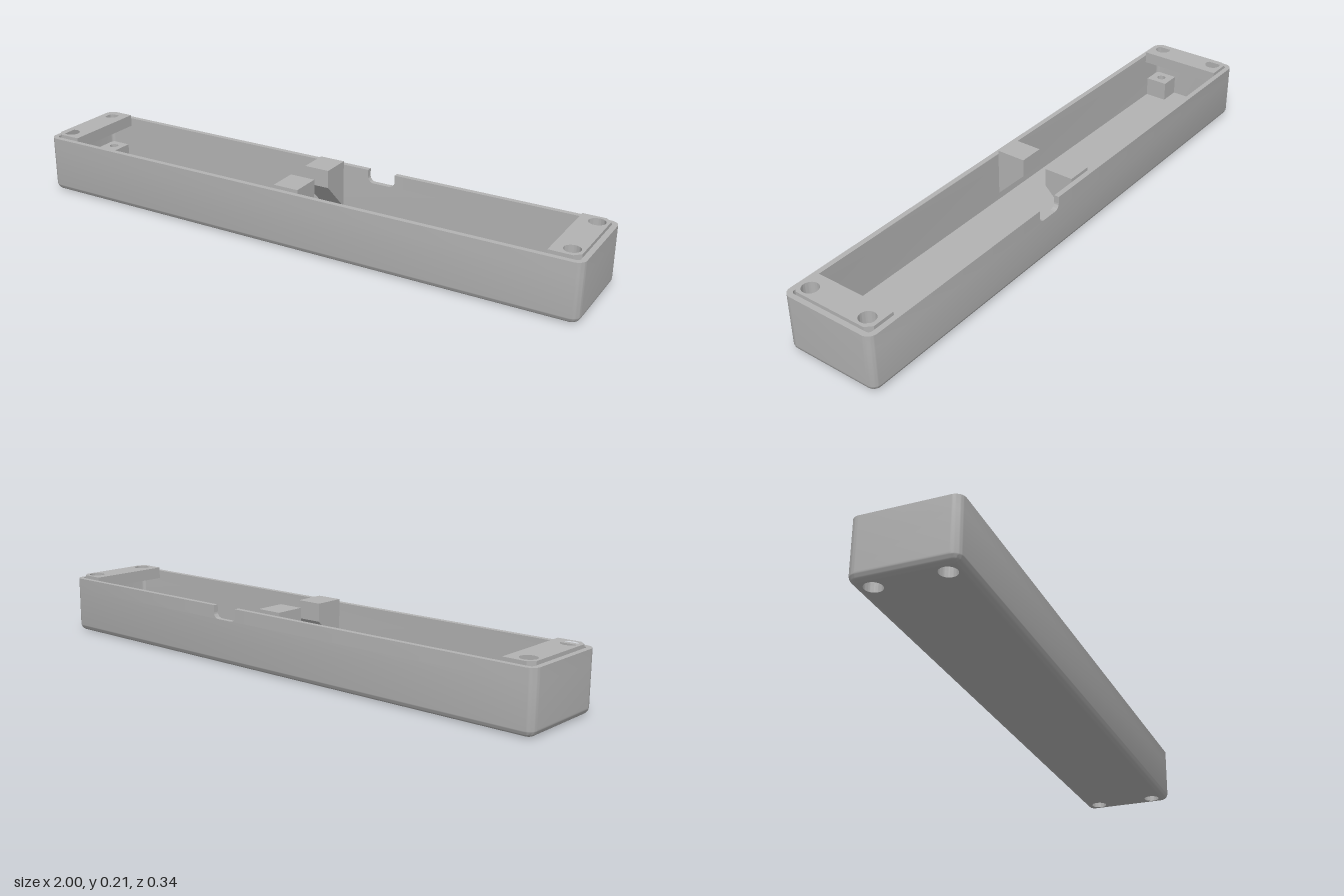
import * as THREE from 'three';
import { toCreasedNormals } from 'three/addons/utils/BufferGeometryUtils.js';

const HX = 1, HZ = 0.168, R = 0.03, WALL = 0.018, FILLET = 0.025;
const FLOOR = 0.02, RIM = 0.2, TOP = 0.212, NOTCH_Y = 0.155, NOTCH = [0.14, 0.24];
const SCREW_X = 0.945, SCREW_Z = 0.11;

// Rounded rectangle outline, counter-clockwise, starting at the back right corner
function ring(inset) {
  const r = Math.max(R - inset, 0.004), hx = HX - inset - r, hz = HZ - inset - r, n = 10;
  const pts = [];
  [[-1, 1, 1], [-1, -1, 2], [1, -1, 3], [1, 1, 0]].forEach(([sx, sy, q]) => {
    for (let i = 0; i <= n; i++) {
      const a = (q + i / n) * Math.PI / 2;
      pts.push(new THREE.Vector2(sx * hx + r * Math.cos(a), sy * hz + r * Math.sin(a)));
    }
  });
  return pts;
}

// Skin through rounded rectangles given as [inset, height]
function loft(levels) {
  const pos = [], idx = [];
  let n = 0;
  levels.forEach(([inset, y]) => {
    const pts = ring(inset);
    n = pts.length;
    pts.forEach(p => pos.push(p.x, y, -p.y));
  });
  for (let i = 0; i < levels.length - 1; i++) {
    for (let j = 0; j < n; j++) {
      const a = i * n + j, b = i * n + (j + 1) % n;
      idx.push(a, b, b + n, a, b + n, a + n);
    }
  }
  const g = new THREE.BufferGeometry();
  g.setAttribute('position', new THREE.Float32BufferAttribute(pos, 3));
  g.setIndex(idx);
  return toCreasedNormals(g, 0.6);
}

// Flat outline (shape y is world -z) raised from y0 to y1, with round holes [x, y, r]
function slab(points, y0, y1, holes = []) {
  const shape = new THREE.Shape(points);
  holes.forEach(([x, y, r]) => {
    shape.holes.push(new THREE.Path().absarc(x, y, r, 0, Math.PI * 2, true));
  });
  const g = new THREE.ExtrudeGeometry(shape, { depth: y1 - y0, bevelEnabled: false, curveSegments: 32 });
  g.rotateX(-Math.PI / 2).translate(0, y0, 0);
  return toCreasedNormals(g, 0.6);
}

const vecs = list => list.map(([x, y]) => new THREE.Vector2(x, y));
const square = (x, y, hx, hy) =>
  vecs([[x - hx, y - hy], [x + hx, y - hy], [x + hx, y + hy], [x - hx, y + hy]]);

export function createModel() {
  const group = new THREE.Group();
  const grey = new THREE.MeshStandardMaterial({ color: 0xb2b2b2 });
  grey.name = 'plastic grey';
  const add = (name, geometry) => {
    const mesh = new THREE.Mesh(geometry, grey);
    mesh.name = name;
    group.add(mesh);
    return mesh;
  };

  // Tray walls: filleted outside, up to the notch height, then down the inside
  const levels = [];
  for (let i = 0; i <= 10; i++) {
    const a = i / 10 * Math.PI / 2;
    levels.push([FILLET * (1 - Math.sin(a)), FILLET * (1 - Math.cos(a))]);
  }
  levels.push([0, NOTCH_Y], [WALL, NOTCH_Y], [WALL, FLOOR], [FILLET, FLOOR]);
  add('trayWalls', loft(levels));

  // Upper wall, open at the cable notch
  const [n0, n1] = NOTCH, zo = HZ, zi = HZ - WALL;
  add('upperWall', slab([
    ...vecs([[n0, zo]]), ...ring(0), ...vecs([[n1, zo], [n1, zi]]),
    ...ring(WALL).reverse(), ...vecs([[n0, zi]]),
  ], NOTCH_Y, RIM));

  // Rounded lower corners of the notch
  const cr = 0.02;
  [[n0, 1], [n1, -1]].forEach(([x, s]) => {
    const pts = [[x, NOTCH_Y]];
    for (let i = 0; i <= 8; i++) {
      const a = i / 8 * Math.PI / 2;
      pts.push([x + s * cr * (1 - Math.sin(a)), NOTCH_Y + cr * (1 - Math.cos(a))]);
    }
    const g = new THREE.ExtrudeGeometry(new THREE.Shape(vecs(pts)), { depth: WALL, bevelEnabled: false });
    g.translate(0, 0, -HZ);
    add('notchCorner', toCreasedNormals(g, 0.6));
  });

  // Floor with the four screw openings
  const screws = [];
  for (const sx of [-1, 1]) for (const sz of [-1, 1]) screws.push([sx * SCREW_X, sz * SCREW_Z]);
  add('floor', slab(ring(FILLET), 0, FLOOR, screws.map(([x, z]) => [x, z, 0.028])));

  // Screw posts: wide bore from below, narrow bore through the top
  screws.forEach(([x, z]) => {
    const outline = square(x, z, 0.038, 0.041);
    add('screwPostBase', slab(outline, FLOOR, 0.06, [[x, z, 0.028]]));
    add('screwPostTop', slab(outline, 0.06, 0.09, [[x, z, 0.016]]));
  });

  // End plates with chamfered outer corners
  const c = 0.02, w = 0.15, x0 = 0.885, x1 = 0.982;
  for (const s of [-1, 1]) {
    const outline = vecs([[x0, -w], [x1 - c, -w], [x1, -w + c], [x1, w - c], [x1 - c, w], [x0, w]]
      .map(([x, y]) => [s * x, y]));
    add('endPlate', slab(outline, 0.17, TOP,
      [[s * SCREW_X, SCREW_Z, 0.027], [s * SCREW_X, -SCREW_Z, 0.027]]));
  }

  // Central support brackets with sloping undersides
  for (const back of [true, false]) {
    const profile = vecs([[-w, 0.045], [-0.045, 0.15], [-0.045, TOP], [-w, TOP]]);
    const g = new THREE.ExtrudeGeometry(new THREE.Shape(profile), { depth: 0.09, bevelEnabled: false });
    g.rotateY(-Math.PI / 2).translate(0.045, 0, 0);
    if (!back) g.rotateY(Math.PI);
    add(back ? 'backBracket' : 'frontBracket', g);
  }
  return group;
}
